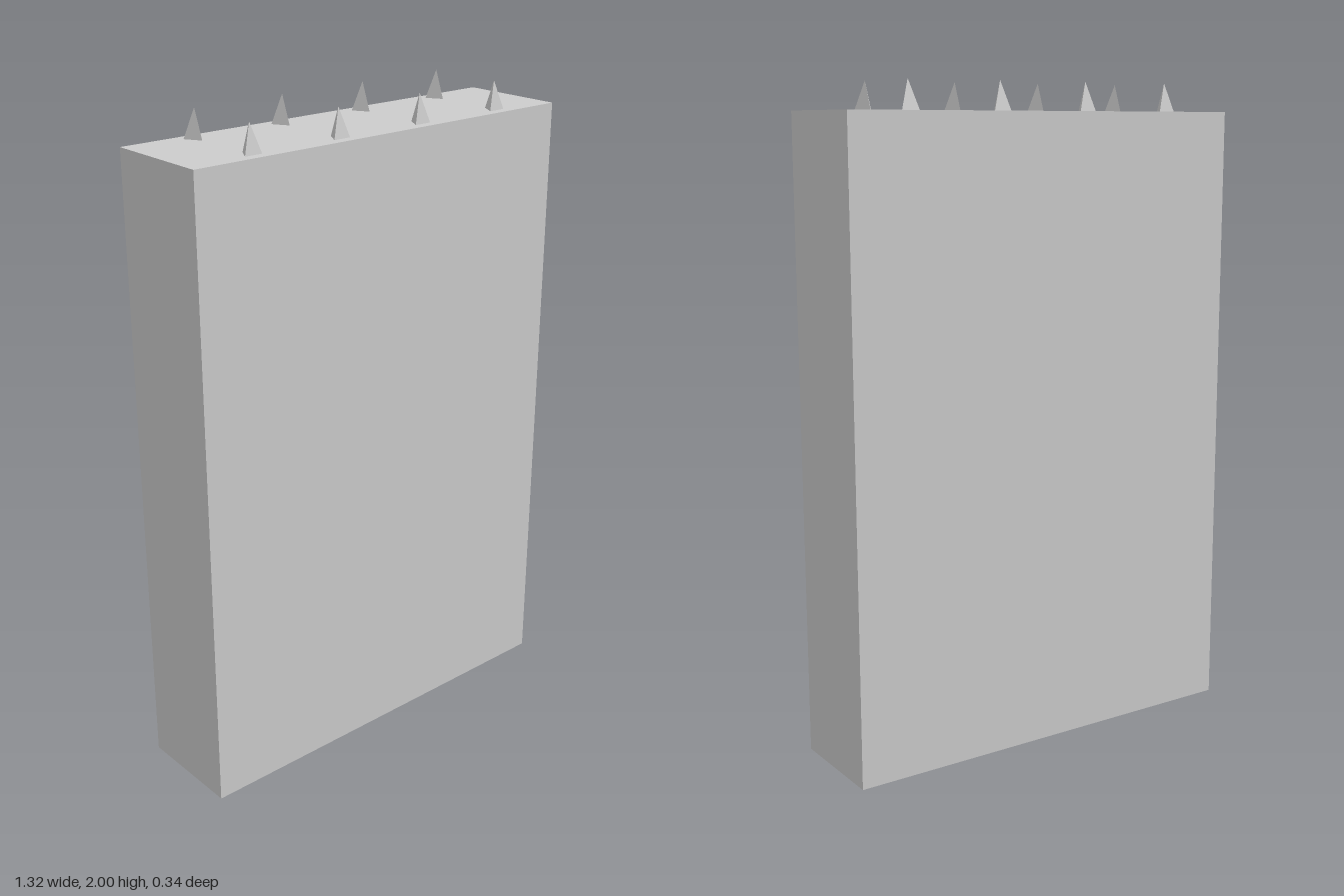
import * as THREE from 'three';

export function createModel() {
  const group = new THREE.Group();
  const material = new THREE.MeshStandardMaterial({ color: 0xcccccc, flatShading: true });
  const bodyHeight = 1.915;
  const spikeHeight = 2 - bodyHeight;

  // Tall slab body
  const body = new THREE.Mesh(new THREE.BoxGeometry(1.32, bodyHeight, 0.336), material);
  body.name = 'body';
  body.position.y = bodyHeight / 2;
  group.add(body);

  // Two rows of three-sided spikes, each with one corner pointing inward
  const spikeGeometry = new THREE.ConeGeometry(0.032, spikeHeight, 3);
  for (const side of [1, -1]) {
    const row = new THREE.Group();
    row.name = side > 0 ? 'frontSpikes' : 'backSpikes';
    for (const x of [-0.45, -0.15, 0.15, 0.45]) {
      const spike = new THREE.Mesh(spikeGeometry, material);
      spike.name = 'spike';
      spike.position.set(x, bodyHeight + spikeHeight / 2, side * 0.122);
      spike.rotation.y = side > 0 ? Math.PI : 0;
      row.add(spike);
    }
    group.add(row);
  }

  return group;
}
